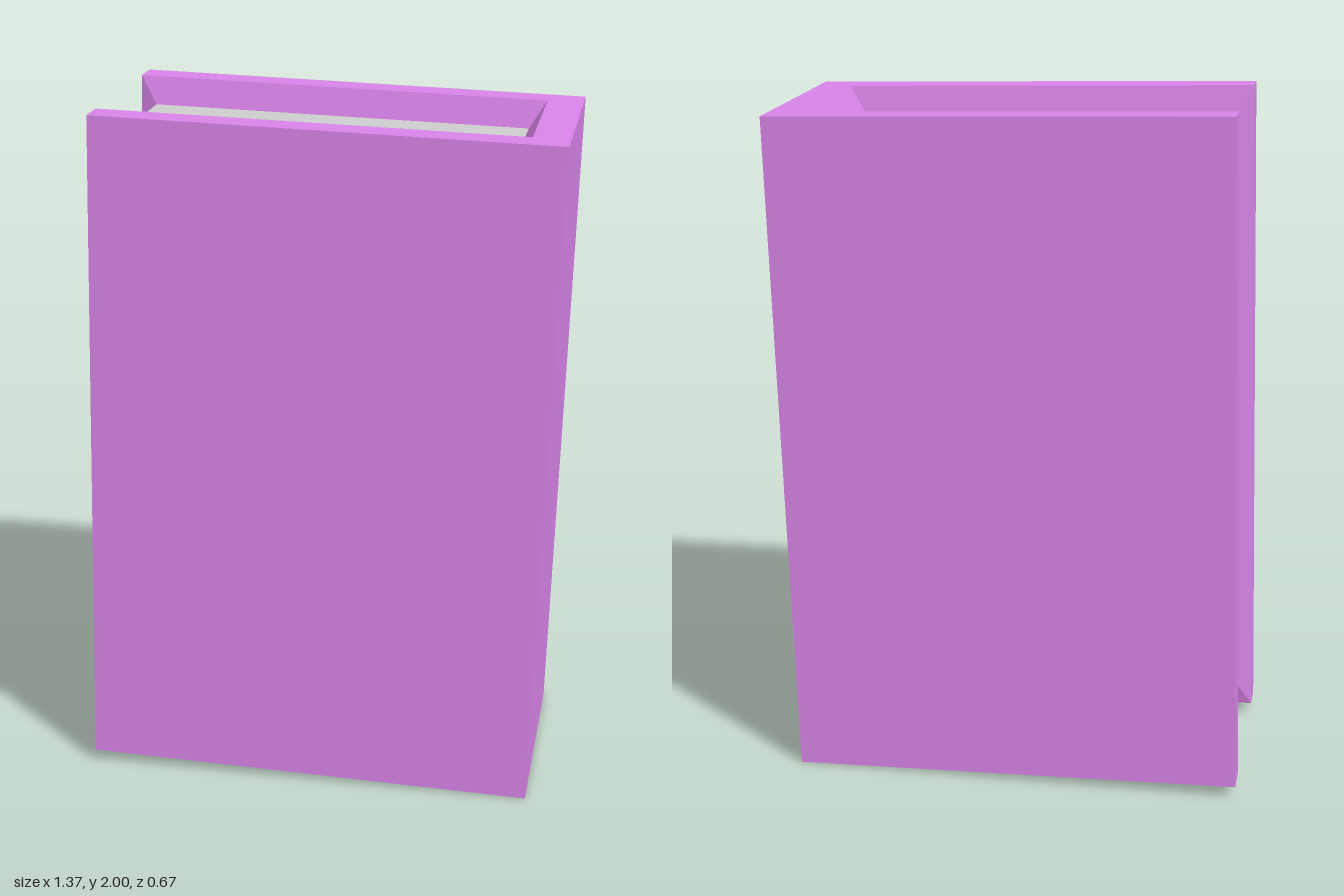
import * as THREE from 'three';

// Half sizes of the cover, its recessed rim and the page block
const X = 0.657, H = 0.981, Z = 0.337;   // outside of the cover
const S = 0.553, R = 0.247;              // opening: spine side and board side
const s = 0.505, h = 0.9, r = 0.2275;    // pages: spine side, half height, half thickness
const p = 0.607;                         // fore edge of the pages

// One quarter of the cover (upper front), mirrored in y and z
const quads = [
  [[-X, 0, Z], [X, 0, Z], [X, H, Z], [-X, H, Z]],     // board face
  [[X, 0, Z], [X, 0, 0], [X, H, 0], [X, H, Z]],       // spine face
  [[-X, H, Z], [X, H, Z], [S, H, R], [-X, H, R]],     // board rim
  [[X, H, Z], [X, H, 0], [S, H, 0], [S, H, R]],       // spine rim
  [[-X, 0, R], [-X, 0, Z], [-X, H, Z], [-X, H, R]],   // fore edge rim
  [[-X, H, R], [S, H, R], [s, h, r], [-p, h, r]],     // board bevel
  [[S, H, R], [S, H, 0], [s, h, 0], [s, h, r]],       // spine bevel
  [[-X, 0, R], [-X, H, R], [-p, h, r], [-p, 0, r]],   // fore edge bevel
];

function coverGeometry() {
  const positions = [];
  for (const my of [1, -1]) for (const mz of [1, -1]) {
    // a single mirror flips the winding
    const order = my * mz > 0 ? [0, 1, 2, 0, 2, 3] : [0, 2, 1, 0, 3, 2];
    for (const q of quads) for (const i of order) {
      positions.push(q[i][0], q[i][1] * my, q[i][2] * mz);
    }
  }
  const g = new THREE.BufferGeometry();
  g.setAttribute('position', new THREE.Float32BufferAttribute(positions, 3));
  g.computeVertexNormals();
  return g;
}

export function createModel() {
  const model = new THREE.Group();
  model.name = 'book';

  // The whole book leans slightly towards its spine
  const body = new THREE.Group();
  body.name = 'tiltedBook';
  body.position.y = 1;
  body.rotation.z = -0.028;
  model.add(body);

  const cover = new THREE.Mesh(coverGeometry(),
    new THREE.MeshStandardMaterial({ color: 0xd884e8 }));
  cover.name = 'cover';

  const pages = new THREE.Mesh(new THREE.BoxGeometry(s + p, 2 * h, 2 * r),
    new THREE.MeshStandardMaterial({ color: 0xcccccc }));
  pages.name = 'pages';
  pages.position.x = (s - p) / 2;

  body.add(cover, pages);
  return model;
}
